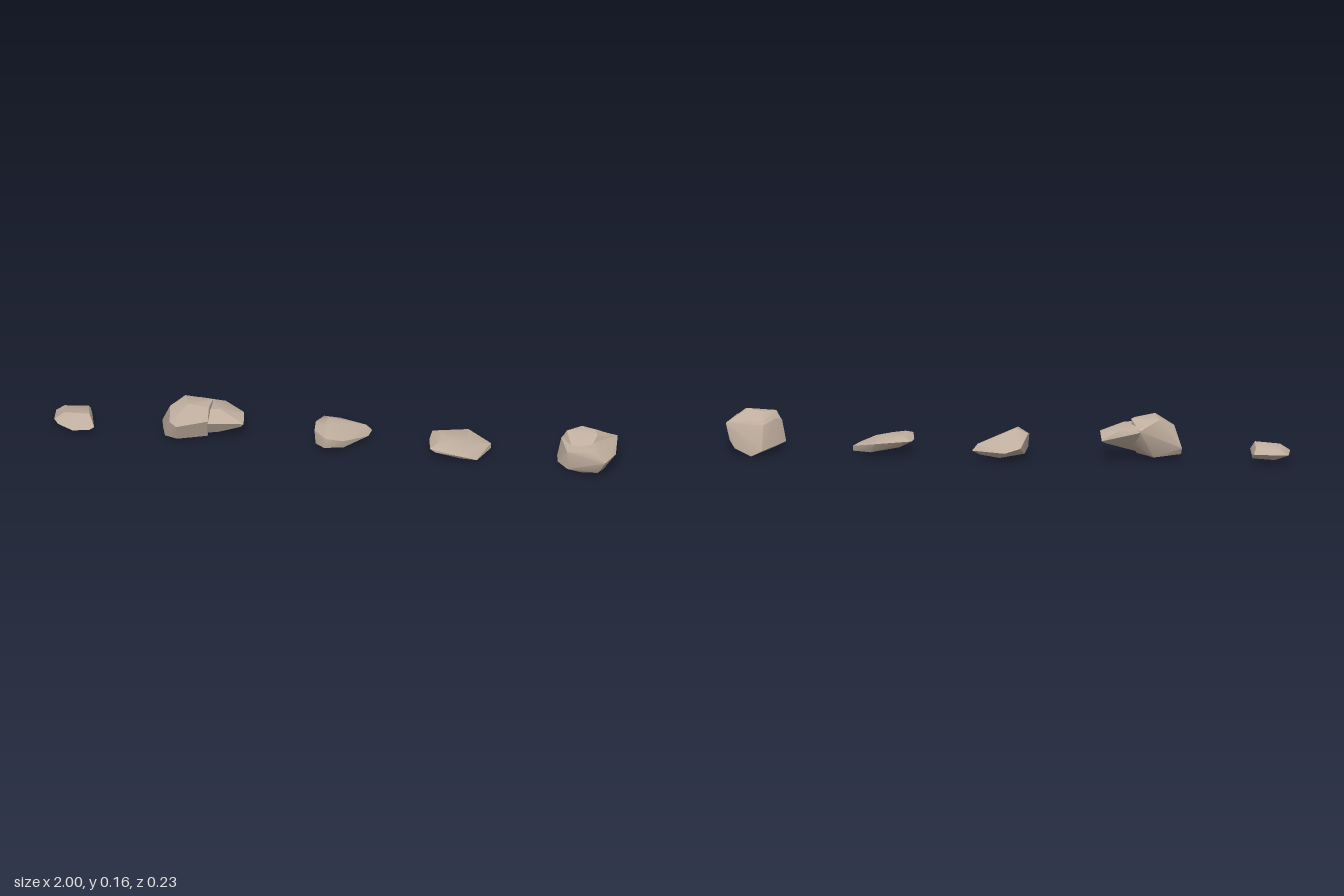
import * as THREE from 'three';
import { ConvexGeometry } from 'three/addons/geometries/ConvexGeometry.js';
import { toCreasedNormals } from 'three/addons/utils/BufferGeometryUtils.js';

const stone = new THREE.MeshStandardMaterial({ color: 0xbfae9e });

// A chipped stone: the hull of its corners, smooth over gentle bends and sharp at breaks
function chunk(name, corners) {
  const points = corners.map((c) => new THREE.Vector3(...c));
  const mesh = new THREE.Mesh(toCreasedNormals(new ConvexGeometry(points), 0.6), stone);
  mesh.name = name;
  return mesh;
}

// A rock made of a main body and, where given, a second overlapping piece
function rock(name, body, spur) {
  const group = new THREE.Group();
  group.name = name;
  group.add(chunk(name + 'Body', body));
  if (spur) group.add(chunk(name + 'Spur', spur));
  return group;
}

export function createModel() {
  const model = new THREE.Group();
  model.name = 'rocks';

  // Small pebble
  model.add(rock('pebble', [
    [-1, 0.04, -0.04], [-1, 0.045, 0.02], [-0.985, 0.035, 0.035], [-0.93, 0.03, 0.06], [-0.87, 0.035, 0.055],
    [-0.855, 0.04, 0.045], [-0.87, 0.04, -0.03], [-0.96, 0.045, -0.06], [-0.88, 0.045, -0.06],
    [-0.97, 0.062, -0.04], [-0.965, 0.07, 0.01], [-0.885, 0.065, -0.045], [-0.875, 0.075, 0.015],
    [-0.965, 0.015, 0.015], [-0.95, 0.02, -0.03], [-0.87, 0.02, -0.015], [-0.9, 0.015, 0.035],
  ]));

  // Tall rock with a wedge reaching out to its left
  model.add(rock('wedgeRock', [
    [-0.615, 0.025, 0], [-0.62, 0.05, -0.015], [-0.605, 0.02, 0.035], [-0.56, 0.02, 0.05], [-0.455, 0.02, 0.02],
    [-0.52, 0.015, -0.02], [-0.59, 0.13, 0.005], [-0.585, 0.1, 0.06], [-0.56, 0.095, 0.08], [-0.52, 0.165, 0.03],
    [-0.54, 0.155, -0.03], [-0.44, 0.155, -0.02], [-0.45, 0.15, 0.025], [-0.45, 0.11, 0.055], [-0.475, 0.12, -0.065],
    [-0.45, 0.06, -0.03],
  ], [
    [-0.49, 0.14, -0.045], [-0.475, 0.115, -0.065], [-0.48, 0.14, 0.02], [-0.41, 0.135, 0.01], [-0.4, 0.12, -0.06],
    [-0.34, 0.08, -0.06], [-0.33, 0.105, -0.02], [-0.325, 0.095, 0.035], [-0.335, 0.075, 0.025], [-0.45, 0.1, 0.055],
    [-0.42, 0.04, 0.02], [-0.47, 0.025, 0.01], [-0.46, 0.05, -0.02], [-0.35, 0.07, -0.045],
  ]));

  // Slanted rock in the middle, its back edge low
  model.add(rock('slantedRock', [
    [-0.075, 0.09, -0.02], [-0.075, 0.08, 0.02], [-0.055, 0.055, -0.1], [-0.03, 0.11, -0.025], [-0.035, 0.105, 0.02],
    [0, 0.04, -0.115], [0.03, 0.085, -0.05], [0.1, 0.06, -0.06], [0.12, 0.035, -0.065], [0.11, 0.03, -0.035],
    [0.03, 0.06, 0.045], [-0.03, 0.08, 0.065], [-0.035, 0.045, 0.072], [-0.07, 0.03, 0.03], [0.03, 0.025, 0.035],
    [0.01, 0.015, -0.01], [-0.065, 0.025, -0.05], [0.02, 0.015, -0.08], [0.09, 0.02, -0.06],
  ]));

  // Thin flake, tipped down to the left
  model.add(rock('flake', [
    [0.33, 0.058, -0.01], [0.335, 0.06, -0.055], [0.34, 0.065, 0.058], [0.37, 0.075, -0.04], [0.365, 0.075, 0.035],
    [0.41, 0.075, 0.01], [0.46, 0.055, -0.085], [0.465, 0.066, 0], [0.52, 0.046, -0.02], [0.545, 0.035, -0.04],
    [0.545, 0.016, -0.035], [0.505, 0.02, 0.045], [0.45, 0.05, 0.07], [0.45, 0.03, 0.055], [0.36, 0.052, 0.06],
    [0.43, 0.027, 0], [0.48, 0.018, -0.06], [0.38, 0.035, -0.045],
  ]));

  // Blocky rock with a broken crest on top
  model.add(rock('blockRock', [
    [0.785, 0.035, 0], [0.79, 0.03, 0.03], [0.8, 0.115, 0], [0.83, 0.11, 0.075], [0.83, 0.03, 0.07],
    [0.92, 0.123, 0.09], [0.97, 0.1, 0.112], [0.94, 0.035, 0.085], [0.955, 0.02, 0.04], [0.88, 0.012, 0.06],
    [0.86, 0.025, -0.112], [0.9, 0.002, -0.1], [0.96, 0.025, -0.08], [0.98, 0.05, -0.06], [0.995, 0.108, -0.045],
    [0.998, 0.085, 0.035], [0.82, 0.125, -0.03], [0.86, 0.11, -0.075], [0.92, 0.135, 0.01], [0.82, 0.02, -0.02],
  ], [
    [0.8, 0.11, 0], [0.82, 0.148, 0], [0.86, 0.12, -0.06], [0.87, 0.15, -0.03], [0.92, 0.155, -0.01],
    [0.93, 0.148, 0.015], [0.91, 0.12, 0.06], [0.84, 0.12, 0.045], [0.99, 0.11, -0.04], [0.94, 0.1, 0.03],
  ]));

  return model;
}
